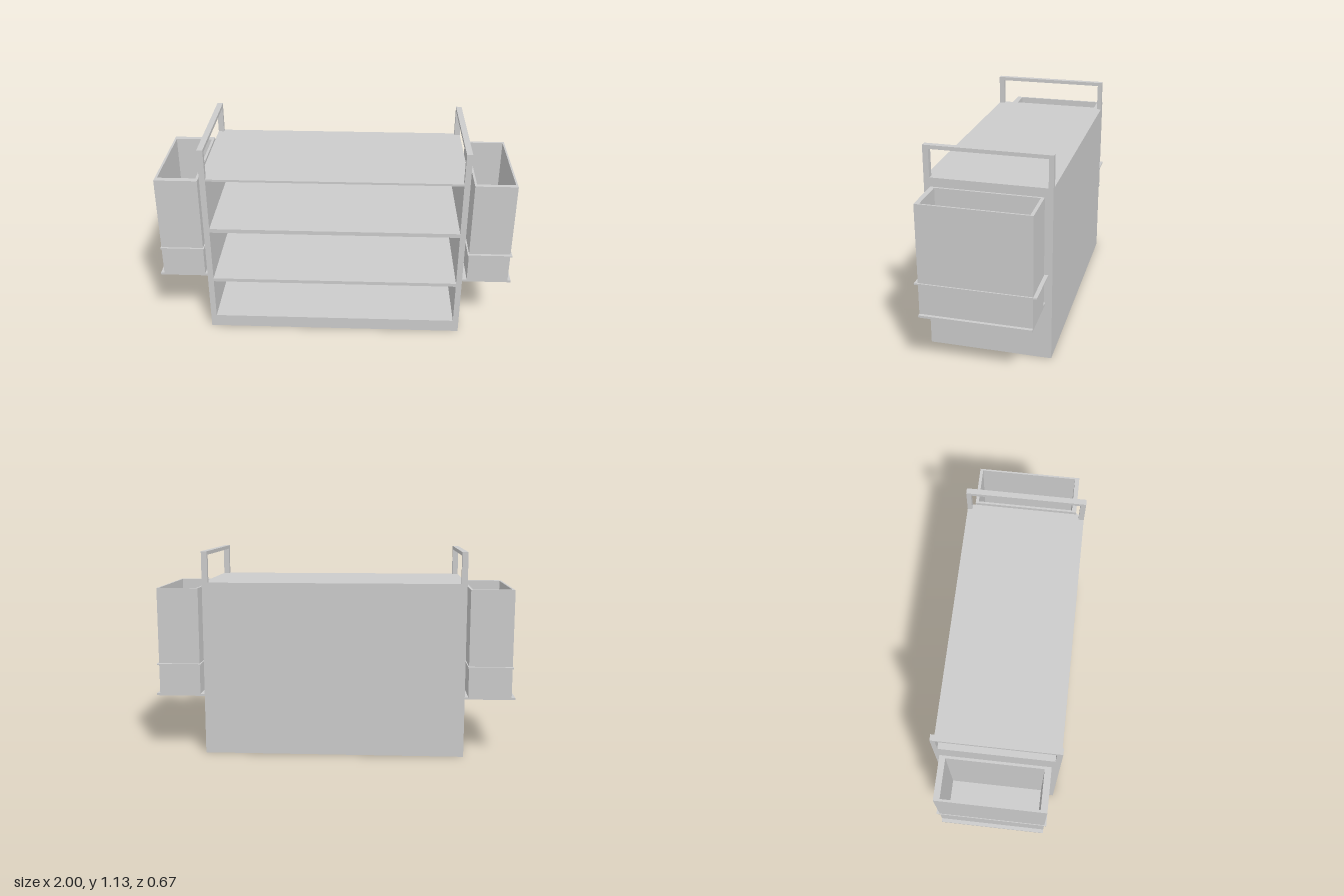
import * as THREE from 'three';

const material = new THREE.MeshStandardMaterial({ color: 0xcccccc, flatShading: true });

// Box given by its limits on each axis
function box(name, [x0, x1], [y0, y1], [z0, z1]) {
  const mesh = new THREE.Mesh(new THREE.BoxGeometry(x1 - x0, y1 - y0, z1 - z0), material);
  mesh.name = name;
  mesh.position.set((x0 + x1) / 2, (y0 + y1) / 2, (z0 + z1) / 2);
  return mesh;
}

function rectangle(path, [u0, u1], [v0, v1]) {
  path.moveTo(u0, v0);
  path.lineTo(u1, v0);
  path.lineTo(u1, v1);
  path.lineTo(u0, v1);
  path.closePath();
  return path;
}

// Rectangular plate with a rectangular hole, extruded along its local z
function frame(name, outerU, outerV, innerU, innerV, depth) {
  const shape = rectangle(new THREE.Shape(), outerU, outerV);
  shape.holes.push(rectangle(new THREE.Path(), innerU, innerV));
  const mesh = new THREE.Mesh(
    new THREE.ExtrudeGeometry(shape, { depth, bevelEnabled: false }), material);
  mesh.name = name;
  return mesh;
}

// Horizontal frame with its limits in x and z, rising from y0 to y1
function ring(name, x, z, innerX, innerZ, [y0, y1]) {
  const flip = ([a, b]) => [-b, -a];
  const mesh = frame(name, x, flip(z), innerX, flip(innerZ), y1 - y0);
  mesh.rotation.x = -Math.PI / 2;
  mesh.position.y = y0;
  return mesh;
}

// Open bin standing on a tray, with a retaining band around it
function makeBin(name, { tray, outer, inner, band, outerZ, innerZ, bandZ }) {
  const bin = new THREE.Group();
  bin.name = name;
  bin.add(
    box('binTray', tray, [0.318, 0.33], [-0.297, 0.287]),
    ring('binWalls', outer, outerZ, inner, innerZ, [0.33, 0.925]),
    ring('binBand', band, bandZ, outer, outerZ, [0.495, 0.503]));
  return bin;
}

export function createModel() {
  const cart = new THREE.Group();
  cart.name = 'shelfCart';

  // End panels with a handle opening at the top
  for (const [name, x] of [['leftEndPanel', 0.688], ['rightEndPanel', -0.72]]) {
    const panel = frame(name, [-0.333, 0.333], [0, 1.13], [-0.303, 0.308], [0.96, 1.11], 0.032);
    panel.rotation.y = Math.PI / 2;
    panel.position.x = x;
    cart.add(panel);
  }

  // Shelves between the panels
  const span = [-0.688, 0.688];
  for (const [name, y0, y1] of [
    ['bottomShelf', 0.04, 0.072], ['lowerShelf', 0.31, 0.33],
    ['upperShelf', 0.632, 0.655], ['topShelf', 0.948, 0.96],
  ]) {
    cart.add(box(name, span, [y0, y1], [-0.303, 0.333]));
  }

  // Closed back, and the kick board below the bottom shelf
  cart.add(
    box('backPanel', span, [0, 0.96], [-0.333, -0.303]),
    box('kickBoard', span, [0, 0.04], [0.303, 0.333]));

  // Side bins
  cart.add(
    makeBin('leftBin', {
      tray: [0.72, 1], outer: [0.752, 0.982], inner: [0.764, 0.972], band: [0.744, 0.99],
      outerZ: [-0.297, 0.287], innerZ: [-0.28, 0.262], bandZ: [-0.317, 0.305],
    }),
    makeBin('rightBin', {
      tray: [-1, -0.72], outer: [-0.98, -0.743], inner: [-0.968, -0.757], band: [-0.984, -0.737],
      outerZ: [-0.297, 0.287], innerZ: [-0.264, 0.252], bandZ: [-0.315, 0.298],
    }));

  return cart;
}
